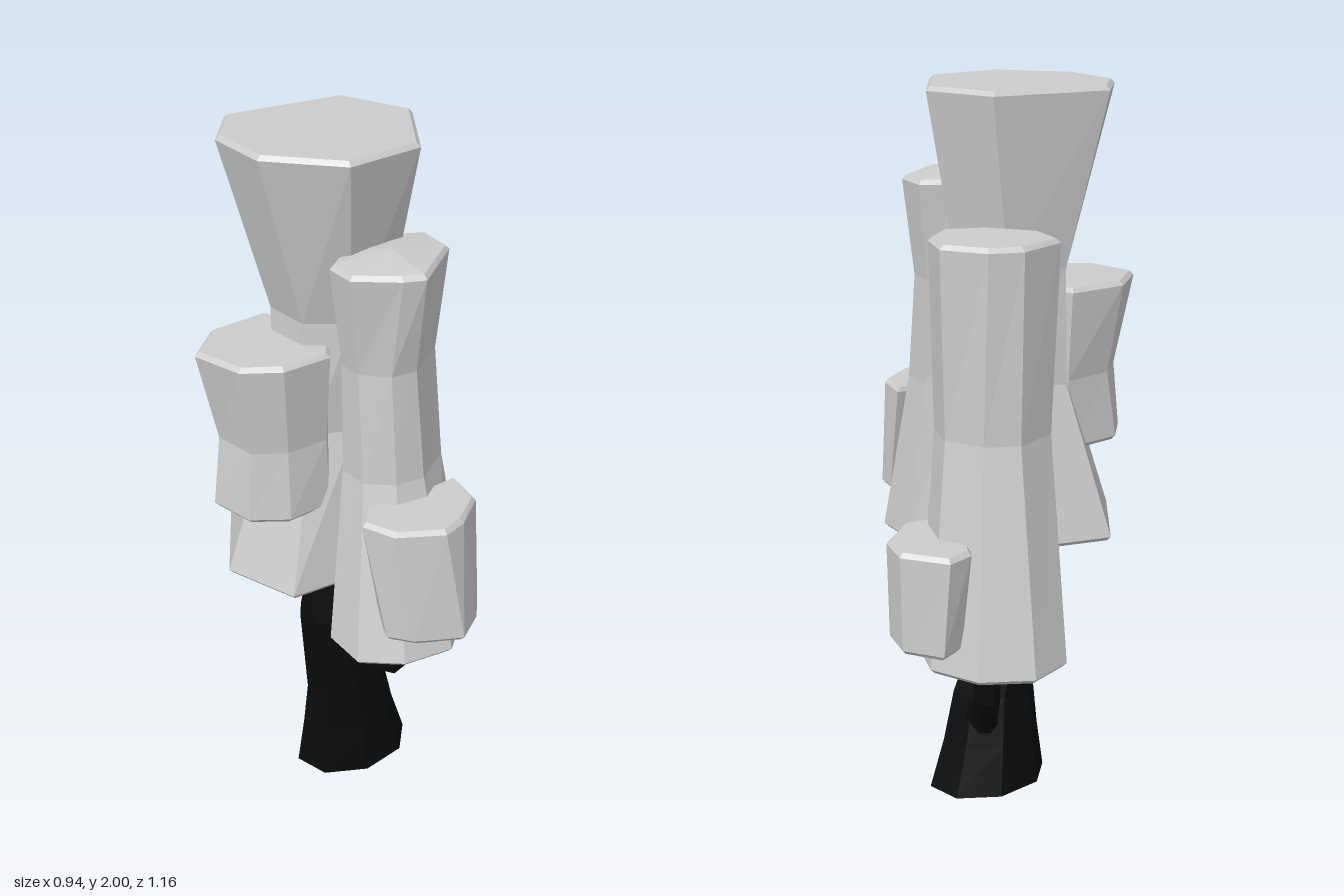
import * as THREE from 'three';

const leafMat = new THREE.MeshStandardMaterial({ color: 0xcccccc, flatShading: true });
const barkMat = new THREE.MeshStandardMaterial({ color: 0x0b0b0b, flatShading: true });

// Joins stacked outlines (points are [x, z], clockwise from above), listed from bottom to top.
function loft(name, rings, material, crown = 0) {
  const pos = [];
  const rows = rings.map(({ y, pts }) => pts.map(([x, z]) => [x, y, z]));
  const tri = (...p) => p.forEach((v) => pos.push(...v));
  const middle = (row, dy) => {
    const c = [0, 0, 0];
    row.forEach((p) => p.forEach((v, k) => { c[k] += v / row.length; }));
    c[1] += dy;
    return c;
  };
  const n = rows[0].length, last = rows[rows.length - 1];
  const low = middle(rows[0], 0), high = middle(last, crown);
  for (let i = 0; i < n; i++) {
    const j = (i + 1) % n;
    for (let r = 0; r < rows.length - 1; r++) {
      const a = rows[r], b = rows[r + 1];
      tri(a[i], b[i], a[j]);
      tri(a[j], b[i], b[j]);
    }
    tri(low, rows[0][i], rows[0][j]);
    tri(high, last[j], last[i]);
  }
  const geo = new THREE.BufferGeometry();
  geo.setAttribute('position', new THREE.Float32BufferAttribute(pos, 3));
  geo.computeVertexNormals();
  const mesh = new THREE.Mesh(geo, material);
  mesh.name = name;
  return mesh;
}

// Pulls an outline in toward its own centre by a distance.
function inset(pts, d) {
  const cx = pts.reduce((s, p) => s + p[0], 0) / pts.length;
  const cz = pts.reduce((s, p) => s + p[1], 0) / pts.length;
  return pts.map(([x, z]) => {
    const k = 1 - d / Math.hypot(x - cx, z - cz);
    return [cx + (x - cx) * k, cz + (z - cz) * k];
  });
}

// Foliage column with a narrow bevel round both ends.
function foliage(name, rings, crown) {
  const first = rings[0], last = rings[rings.length - 1], b = 0.012;
  return loft(name, [
    { y: first.y, pts: inset(first.pts, b) },
    { y: first.y + b, pts: first.pts },
    ...rings.slice(1, -1),
    { y: last.y - b, pts: last.pts },
    { y: last.y, pts: inset(last.pts, b) },
  ], leafMat, crown);
}

const ellipse = (cx, cz, rx, rz, n = 8, turn = 0.2) => Array.from({ length: n }, (_, i) => {
  const a = turn + (i / n) * Math.PI * 2;
  return [cx + Math.cos(a) * rx, cz + Math.sin(a) * rz];
});

// Faceted branch with straight segments between points [x, y, z].
function branch(name, points, radius) {
  const path = new THREE.CurvePath();
  const v = points.map((p) => new THREE.Vector3(...p));
  for (let i = 0; i < v.length - 1; i++) path.add(new THREE.LineCurve3(v[i], v[i + 1]));
  const curve = new THREE.CatmullRomCurve3(v, false, 'catmullrom', 0.1);
  curve.getPointAt = curve.getPoint;
  curve.getTangentAt = curve.getTangent;
  const mesh = new THREE.Mesh(new THREE.TubeGeometry(curve, v.length - 1, radius, 7), barkMat);
  mesh.name = name;
  return mesh;
}

export function createModel() {
  const tree = new THREE.Group();
  tree.name = 'tree';

  // Trunk and branches
  tree.add(loft('trunk', [
    { y: 0, pts: ellipse(-0.01, -0.03, 0.18, 0.136) },
    { y: 0.14, pts: ellipse(-0.025, -0.025, 0.148, 0.115) },
    { y: 0.28, pts: ellipse(-0.04, -0.015, 0.125, 0.1) },
    { y: 0.54, pts: ellipse(-0.1, -0.02, 0.085, 0.08) },
    { y: 0.7, pts: ellipse(-0.095, -0.015, 0.06, 0.055) },
    { y: 0.8, pts: ellipse(-0.09, -0.015, 0.05, 0.045) },
  ], barkMat));
  tree.add(branch('backBranch', [
    [0.02, 0.23, -0.04], [0.09, 0.27, -0.14], [0.175, 0.345, -0.31], [0.205, 0.45, -0.37], [0.205, 0.62, -0.37],
  ], 0.036));
  tree.add(branch('frontBranch', [
    [-0.075, 0.43, 0.0], [-0.075, 0.45, 0.12], [-0.075, 0.51, 0.26], [-0.075, 0.6, 0.33], [-0.075, 0.72, 0.335],
  ], 0.036));

  // Tall central foliage, flaring at both ends
  tree.add(foliage('centralFoliage', [
    { y: 0.77, pts: [[-0.25, -0.285], [-0.03, -0.235], [0.14, 0.03], [0.08, 0.15], [-0.1, 0.19], [-0.34, 0.17], [-0.41, -0.04]] },
    { y: 1.2, pts: [[-0.18, -0.16], [-0.03, -0.13], [0.06, 0.02], [0.02, 0.1], [-0.11, 0.13], [-0.22, 0.09], [-0.26, -0.04]] },
    { y: 1.52, pts: [[-0.18, -0.15], [-0.01, -0.13], [0.06, 0.02], [0.0, 0.125], [-0.13, 0.145], [-0.23, 0.07], [-0.24, -0.06]] },
    { y: 2, pts: [[-0.265, -0.215], [0.06, -0.165], [0.145, 0.025], [0.01, 0.238], [-0.205, 0.248], [-0.36, 0.085], [-0.365, -0.095]] },
  ]));

  // Tall back foliage
  tree.add(foliage('backFoliage', [
    { y: 0.57, pts: [[0.19, -0.58], [0.32, -0.515], [0.385, -0.385], [0.35, -0.27], [0.23, -0.2], [0.11, -0.225], [0.015, -0.37], [0.065, -0.535]] },
    { y: 1.17, pts: [[0.165, -0.465], [0.25, -0.425], [0.305, -0.33], [0.275, -0.225], [0.205, -0.165], [0.11, -0.195], [0.03, -0.31], [0.045, -0.42]] },
    { y: 1.67, pts: [[0.155, -0.46], [0.24, -0.43], [0.317, -0.33], [0.285, -0.22], [0.21, -0.16], [0.105, -0.197], [0.01, -0.31], [0.02, -0.415]] },
  ]));

  // Tall front foliage
  tree.add(foliage('frontFoliage', [
    { y: 0.675, pts: [[-0.17, 0.12], [0.0, 0.1], [0.105, 0.22], [0.105, 0.36], [-0.06, 0.5], [-0.2, 0.48], [-0.295, 0.4], [-0.29, 0.27]] },
    { y: 1.15, pts: [[-0.13, 0.14], [-0.02, 0.13], [0.055, 0.2], [0.055, 0.29], [-0.06, 0.365], [-0.14, 0.355], [-0.205, 0.3], [-0.205, 0.21]] },
    { y: 1.45, pts: [[-0.13, 0.13], [-0.02, 0.125], [0.055, 0.18], [0.05, 0.26], [-0.07, 0.34], [-0.14, 0.33], [-0.2, 0.27], [-0.2, 0.2]] },
    { y: 1.73, pts: [[-0.14, 0.13], [0.0, 0.12], [0.085, 0.17], [0.08, 0.27], [-0.08, 0.388], [-0.135, 0.365], [-0.235, 0.285], [-0.235, 0.2]] },
  ], 0.02));

  // Small clumps on the sides of the tall ones
  tree.add(foliage('rightClump', [
    { y: 1.0, pts: [[-0.37, -0.13], [-0.2, -0.15], [-0.12, 0.04], [-0.2, 0.14], [-0.33, 0.15], [-0.42, 0.09], [-0.445, -0.04]] },
    { y: 1.2, pts: [[-0.345, -0.12], [-0.2, -0.14], [-0.12, 0.04], [-0.2, 0.13], [-0.32, 0.13], [-0.4, 0.08], [-0.42, -0.045]] },
    { y: 1.46, pts: [[-0.37, -0.15], [-0.2, -0.155], [-0.12, 0.04], [-0.2, 0.15], [-0.34, 0.15], [-0.435, 0.09], [-0.475, -0.055]] },
  ]));
  tree.add(foliage('frontClump', [
    { y: 0.77, pts: [[-0.22, 0.4], [-0.08, 0.39], [0.06, 0.4], [0.055, 0.46], [0.0, 0.525], [-0.085, 0.58], [-0.2, 0.52], [-0.245, 0.46]] },
    { y: 1.1, pts: [[-0.22, 0.325], [-0.08, 0.34], [0.065, 0.34], [0.045, 0.45], [-0.05, 0.52], [-0.12, 0.54], [-0.235, 0.475], [-0.27, 0.385]] },
  ]));
  tree.add(foliage('leftClump', [
    { y: 0.645, pts: [[0.33, -0.45], [0.4, -0.48], [0.468, -0.39], [0.45, -0.29], [0.4, -0.235], [0.32, -0.23], [0.3, -0.35]] },
    { y: 0.92, pts: [[0.31, -0.465], [0.385, -0.488], [0.47, -0.385], [0.45, -0.28], [0.35, -0.195], [0.265, -0.21], [0.26, -0.37]] },
  ]));

  return tree;
}
